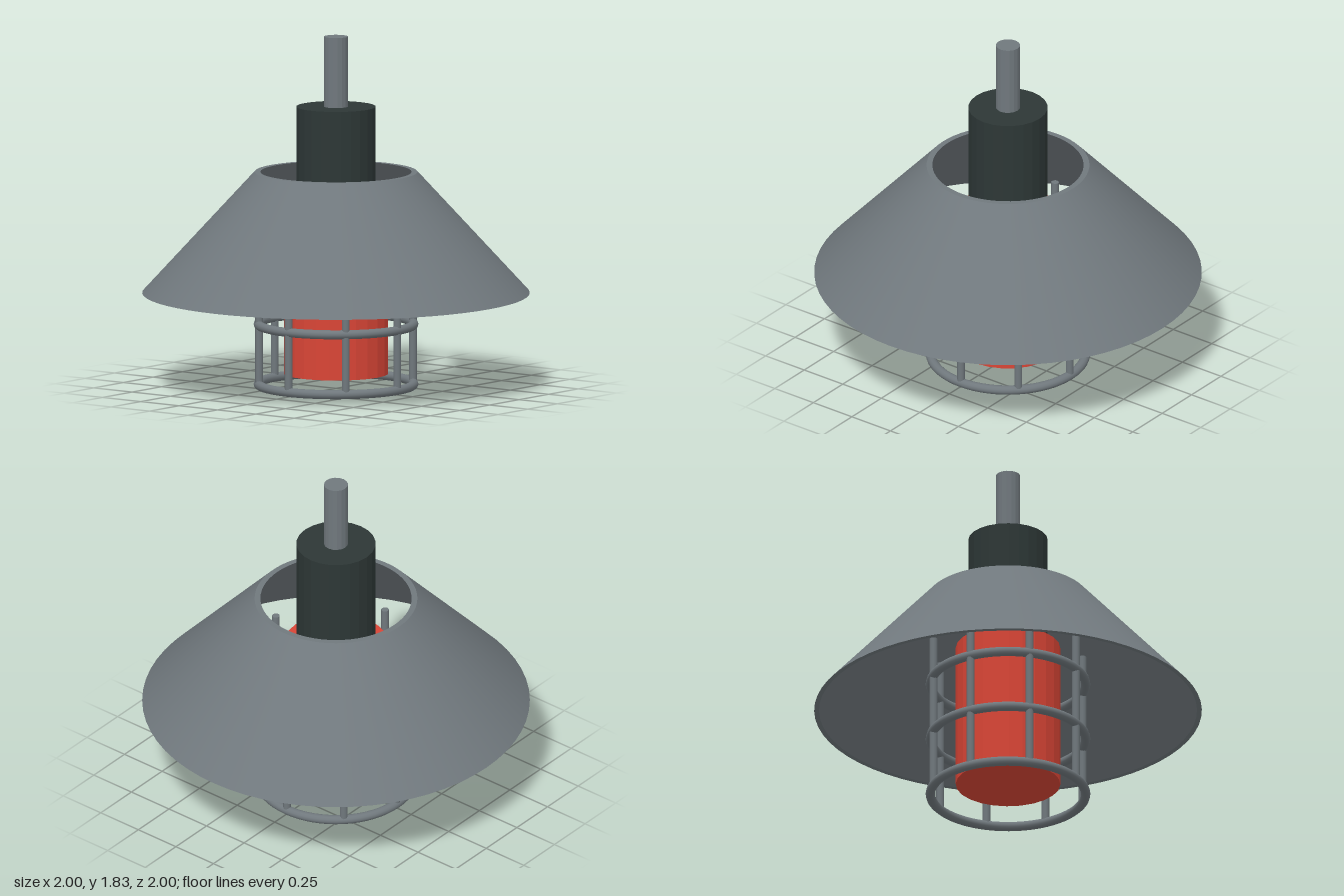
import * as THREE from 'three';
import { toCreasedNormals } from 'three/addons/utils/BufferGeometryUtils.js';

export function createModel() {
  const model = new THREE.Group();
  model.name = 'cagedPendantLamp';

  const material = (name, color, flatShading = false) => {
    const m = new THREE.MeshStandardMaterial({ color, flatShading });
    m.name = name;
    return m;
  };
  const steel = material('steelGrey', 0x70787d);
  const socketBlack = material('socketBlack', 0x2d3736);
  const bulbRed = material('bulbRed', 0xd94536);

  const add = (name, geometry, mat, parent = model) => {
    const mesh = new THREE.Mesh(geometry, mat);
    mesh.name = name;
    parent.add(mesh);
    return mesh;
  };
  // Upright faceted cylinder between two heights
  const column = (name, r, y0, y1, sides, mat, parent) => {
    const geometry = toCreasedNormals(new THREE.CylinderGeometry(r, r, y1 - y0, sides), 0.1);
    const mesh = add(name, geometry, mat, parent);
    mesh.position.y = (y0 + y1) / 2;
    return mesh;
  };

  // Stem, socket and bulb
  column('stem', 0.0625, 1.46, 1.84, 16, steel);
  column('socket', 0.205, 0.85, 1.475, 24, socketBlack);
  column('bulb', 0.27, 0.085, 0.86, 24, bulbRed);

  // Conical shade: a closed wall, open at the top and bottom
  const wall = [[1, 0.505], [0.42, 1.135], [0.39, 1.135], [0.975, 0.505], [1, 0.505]]
    .map(([x, y]) => new THREE.Vector2(x, y));
  add('shade', toCreasedNormals(new THREE.LatheGeometry(wall, 64), 0.6), steel);

  // Wire cage: three hoops and eight upright bars
  const cage = new THREE.Group();
  cage.name = 'cage';
  model.add(cage);
  for (const y of [0.03, 0.342, 0.654]) {
    const hoop = add('cageHoop', new THREE.TorusGeometry(0.4, 0.025, 12, 64), steel, cage);
    hoop.rotation.x = Math.PI / 2;
    hoop.position.y = y;
    hoop.scale.z = 0.95;
  }
  const barGeometry = new THREE.CylinderGeometry(0.02, 0.02, 0.83, 12);
  for (let i = 0; i < 8; i++) {
    const a = (i / 8) * Math.PI * 2;
    const bar = add('cageBar', barGeometry, steel, cage);
    bar.position.set(0.4 * Math.sin(a), 0.445, 0.4 * Math.cos(a));
  }

  return model;
}
